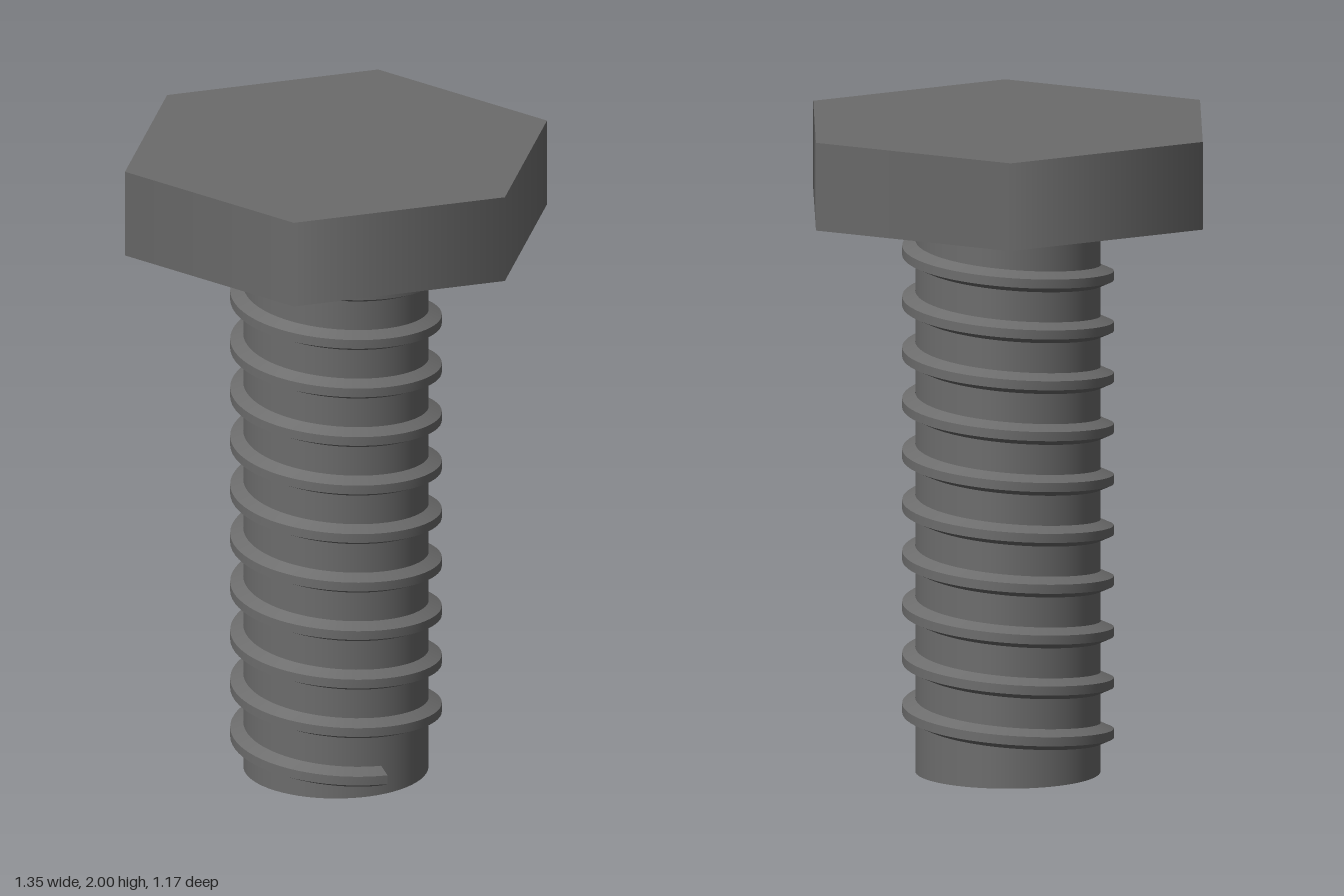
import * as THREE from 'three';

const SHANK_R = 0.28, HEAD_Y = 1.73, PITCH = 0.1565;

// Helical ridge with a trapezoid profile; each flank is its own smooth strip
function threadGeometry(startAngle, startY, turns, stepsPerTurn) {
  const root = SHANK_R + 0.0005, crest = 0.32;
  const profile = [[root, -0.032], [crest, -0.014], [crest, 0.014], [root, 0.032]];
  const steps = Math.round(turns * stepsPerTurn);
  const positions = [], index = [];
  const addPoint = ([r, h], i) => {
    const turn = i / stepsPerTurn, a = startAngle + turn * Math.PI * 2;
    positions.push(r * Math.cos(a), startY + turn * PITCH + h, r * Math.sin(a));
  };
  for (let e = 0; e < 3; e++) {
    const base = positions.length / 3;
    for (let i = 0; i <= steps; i++) {
      addPoint(profile[e], i);
      addPoint(profile[e + 1], i);
      if (i < steps) {
        const k = base + i * 2;
        index.push(k, k + 1, k + 2, k + 1, k + 3, k + 2);
      }
    }
  }
  // End caps
  for (const i of [0, steps]) {
    const k = positions.length / 3;
    profile.forEach((p) => addPoint(p, i));
    if (i === 0) index.push(k, k + 2, k + 1, k, k + 3, k + 2);
    else index.push(k, k + 1, k + 2, k, k + 2, k + 3);
  }
  const geometry = new THREE.BufferGeometry();
  geometry.setAttribute('position', new THREE.Float32BufferAttribute(positions, 3));
  geometry.setIndex(index);
  geometry.computeVertexNormals();
  return geometry;
}

export function createModel() {
  const bolt = new THREE.Group();
  bolt.name = 'hexBolt';
  const material = new THREE.MeshStandardMaterial({ color: 0x6c6c6c, side: THREE.DoubleSide });
  const add = (name, geometry, y = 0) => {
    const mesh = new THREE.Mesh(geometry, material);
    mesh.name = name;
    mesh.position.y = y;
    bolt.add(mesh);
  };

  // Six-sided head with corners on the x axis
  const headHeight = 2 - HEAD_Y;
  add('head', new THREE.CylinderGeometry(0.675, 0.675, headHeight, 6, 1, false, Math.PI / 2), HEAD_Y + headHeight / 2);

  // Hollow shank, open at the lower end
  add('shank', new THREE.CylinderGeometry(SHANK_R, SHANK_R, HEAD_Y, 64, 1, true), HEAD_Y / 2);

  // Thread, running up into the head
  add('thread', threadGeometry(0.35, 0.061, 10.9, 64));

  return bolt;
}
